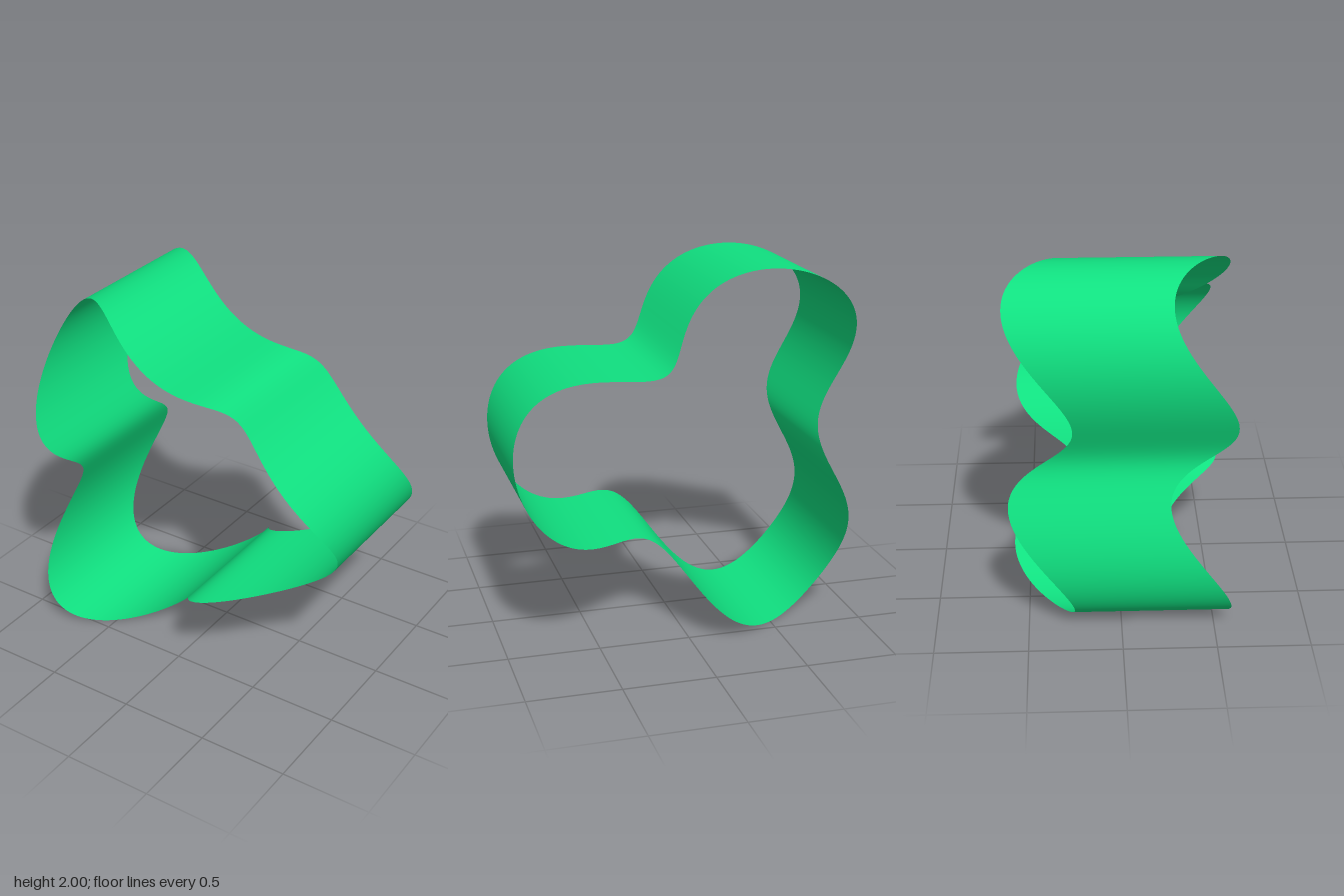
import * as THREE from 'three';
import { ParametricGeometry } from 'three/addons/geometries/ParametricGeometry.js';

const CENTRE_X = -0.175;   // shifts the three-lobed loop so its bounds are centred
const HALF_WIDTH = 0.42;   // half of the band's width along z

// Closed band: a three-lobed loop in xy, swept along z, weaving five times in z
function bandPoint(u, v, target) {
  const angle = u * Math.PI * 2;
  const radius = 0.85 + 0.249 * Math.cos(3 * angle);
  target.set(
    CENTRE_X + radius * Math.cos(angle),
    1 + radius * Math.sin(angle),
    0.168 * Math.sin(5 * angle) + (1 - 2 * v) * HALF_WIDTH
  );
}

export function createModel() {
  const group = new THREE.Group();
  group.name = 'wavyLoop';

  const material = new THREE.MeshStandardMaterial({ color: 0x10e080, side: THREE.DoubleSide });
  const band = new THREE.Mesh(new ParametricGeometry(bandPoint, 360, 8), material);
  band.name = 'wavyBand';
  group.add(band);

  return group;
}
